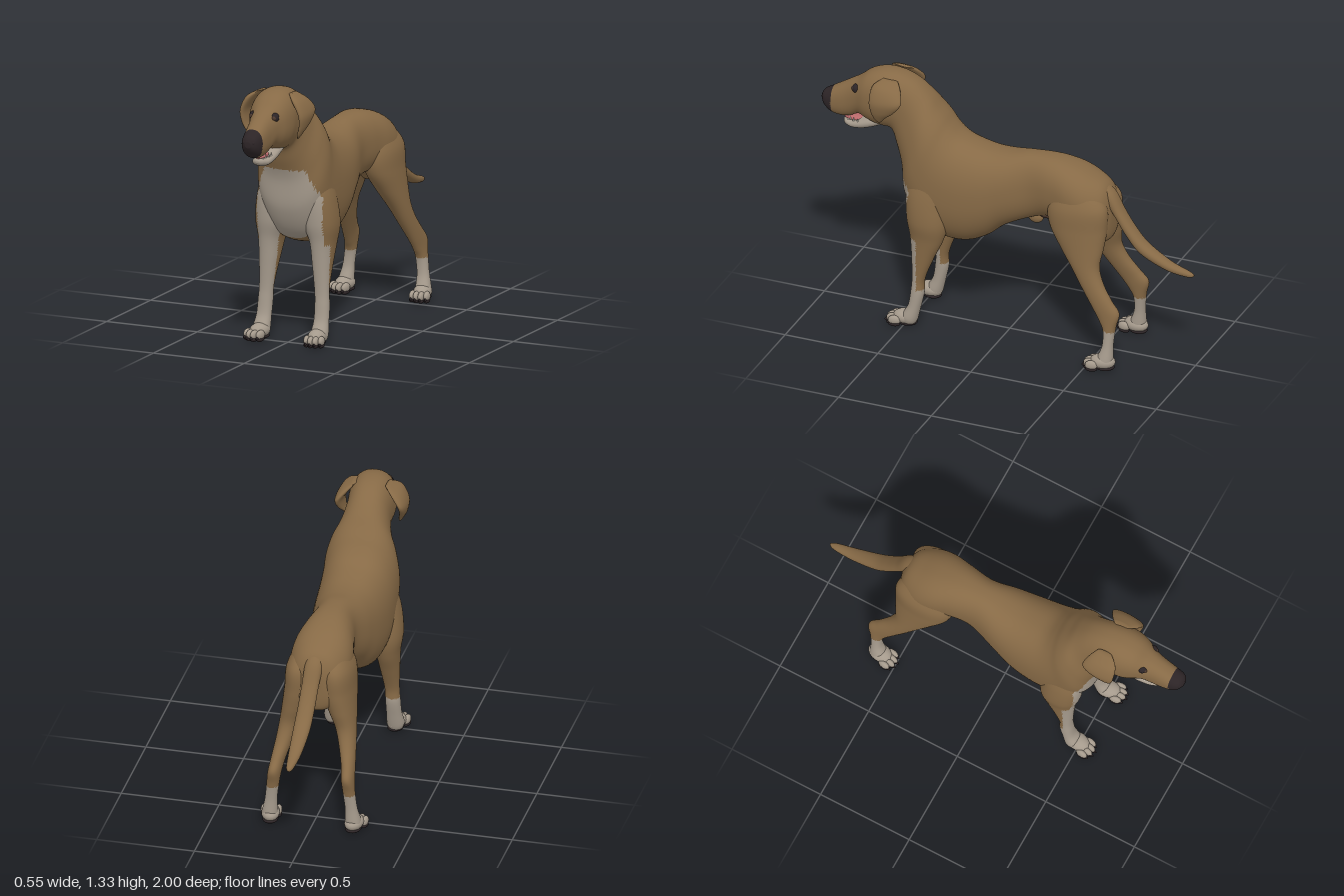
import * as THREE from 'three';

const paint = (name, hex) => {
  const m = new THREE.MeshStandardMaterial({ color: hex });
  m.name = name;
  return m;
};
const tan = paint('tanCoat', 0x876a46);
const white = paint('paleCoat', 0xa59a8c);
const dark = paint('darkNoseAndPads', 0x2c2426);
const pink = paint('pinkMouth', 0xb8696a);
const ivory = paint('ivoryTeeth', 0xd2cabc);
const brown = paint('darkBrownSkin', 0x4c382e);

// Smooth value between section rows
const spline = (a, b, c, d, t) =>
  b + 0.5 * t * (c - a + t * (2 * a - 5 * b + 4 * c - d + t * (3 * (b - c) + d - a)));

// Skin through sections [zA, yA, zB, yB, halfWidth, xCentre]; A and B are opposite edges.
// pick(x, y, z) returns the material index of each facet.
function loft(name, sections, mats, pick = () => 0, seg = 40, steps = 6, power = 0.92) {
  const pos = [], tris = [], n = sections.length;
  const at = (i) => sections[Math.max(0, Math.min(n - 1, i))];
  const rows = (n - 1) * steps + 1;
  for (let r = 0; r < rows; r++) {
    const i = Math.floor(r / steps), t = (r % steps) / steps;
    const [zA, yA, zB, yB, w, x] = [0, 1, 2, 3, 4, 5].map((k) =>
      spline(at(i - 1)[k] ?? 0, at(i)[k] ?? 0, at(i + 1)[k] ?? 0, at(i + 2)[k] ?? 0, t));
    for (let j = 0; j < seg; j++) {
      const a = (j / seg) * Math.PI * 2;
      const c = Math.sign(Math.cos(a)) * Math.abs(Math.cos(a)) ** power;
      const s = Math.sign(Math.sin(a)) * Math.abs(Math.sin(a)) ** power;
      pos.push(x + w * s, (yA + yB) / 2 + (yA - yB) / 2 * c, (zA + zB) / 2 + (zA - zB) / 2 * c);
    }
  }
  for (let r = 0; r < rows - 1; r++) {
    for (let j = 0; j < seg; j++) {
      const a = r * seg + j, b = r * seg + (j + 1) % seg;
      tris.push([a, b, a + seg], [b, b + seg, a + seg]);
    }
  }
  // End caps
  for (const r of [0, rows - 1]) {
    const first = r * seg, mid = pos.length / 3;
    for (let k = 0; k < 3; k++) pos.push((pos[first * 3 + k] + pos[(first + seg / 2) * 3 + k]) / 2);
    for (let j = 0; j < seg; j++) {
      const a = first + j, b = first + (j + 1) % seg;
      tris.push(r ? [a, b, mid] : [b, a, mid]);
    }
  }
  // Face outward whichever way the sections run
  const v = (i) => new THREE.Vector3(pos[i * 3], pos[i * 3 + 1], pos[i * 3 + 2]);
  const o = v(0);
  let volume = 0;
  const buckets = mats.map(() => []);
  for (const t of tris) {
    const [p, q, s] = t.map(v);
    const m = p.clone().add(q).add(s).divideScalar(3);
    buckets[pick(m.x, m.y, m.z)].push(t);
    volume += p.sub(o).dot(q.sub(o).cross(s.sub(o)));
  }
  const geo = new THREE.BufferGeometry();
  geo.setAttribute('position', new THREE.Float32BufferAttribute(pos, 3));
  const index = [];
  buckets.forEach((b, k) => {
    geo.addGroup(index.length, b.length * 3, k);
    for (const [p, q, s] of b) index.push(...(volume < 0 ? [p, s, q] : [p, q, s]));
  });
  geo.setIndex(index);
  geo.computeVertexNormals();
  const mesh = new THREE.Mesh(geo, mats);
  mesh.name = name;
  return mesh;
}

const sphere = new THREE.SphereGeometry(1, 20, 14);
function ball(name, mat, p, s) {
  const mesh = new THREE.Mesh(sphere, mat);
  mesh.name = name;
  mesh.position.set(...p);
  mesh.scale.set(...s);
  return mesh;
}

// Pale bib on the chest, carried down the front of the forelegs
const isBib = (x, y, z) =>
  z > 0.43 + 0.14 * Math.max(0, y - 0.5) && Math.abs(x) < 0.18 && y < 0.895 - 2.2 * Math.max(0, Math.abs(x) - 0.11);

function paw(name, x, z, side) {
  const g = new THREE.Group();
  g.name = name;
  g.add(ball('pawTop', white, [0, 0.045, -0.015], [0.046, 0.038, 0.065]));
  g.add(ball('heelPad', dark, [0, 0.016, -0.025], [0.04, 0.016, 0.05]));
  for (let i = -1.5; i <= 1.5; i++) {
    const tx = i * 0.025, tz = 0.056 - Math.abs(i) * 0.014;
    g.add(ball('toe', white, [tx, 0.034, tz], [0.016, 0.025, 0.032]));
    g.add(ball('toePad', dark, [tx, 0.013, tz], [0.015, 0.013, 0.031]));
    g.add(ball('claw', dark, [tx, 0.021, tz + 0.028], [0.006, 0.008, 0.013]));
  }
  g.position.set(x, 0, z);
  g.rotation.y = side * 0.15;
  return g;
}

export function createModel() {
  const dog = new THREE.Group();
  dog.name = 'dog';

  // Trunk, neck and skull to nose in one skin
  dog.add(loft('bodyAndHead', [
    [-0.565, 0.85, -0.565, 0.76, 0.03, 0], [-0.525, 0.925, -0.55, 0.63, 0.11, 0],
    [-0.45, 0.97, -0.46, 0.62, 0.15, 0], [-0.36, 1.005, -0.36, 0.67, 0.152, 0],
    [-0.25, 1.025, -0.26, 0.70, 0.13, 0], [-0.12, 1.022, -0.15, 0.675, 0.115, 0],
    [0, 1.003, 0, 0.605, 0.15, 0], [0.1, 1.002, 0.1, 0.525, 0.172, 0],
    [0.2, 1.022, 0.21, 0.477, 0.185, 0], [0.26, 1.048, 0.34, 0.482, 0.19, 0],
    [0.305, 1.09, 0.46, 0.54, 0.19, 0], [0.34, 1.135, 0.535, 0.68, 0.187, 0],
    [0.375, 1.175, 0.555, 0.84, 0.165, 0], [0.42, 1.23, 0.59, 0.94, 0.13, 0],
    [0.49, 1.29, 0.62, 1.01, 0.112, 0], [0.57, 1.325, 0.67, 1.02, 0.114, 0.003],
    [0.66, 1.332, 0.71, 1.03, 0.117, 0.006], [0.74, 1.31, 0.75, 1.045, 0.104, 0.01],
    [0.80, 1.265, 0.795, 1.06, 0.08, 0.012], [0.85, 1.235, 0.845, 1.038, 0.066, 0.014],
    [0.90, 1.205, 0.895, 1.03, 0.06, 0.016], [0.95, 1.175, 0.945, 1.04, 0.053, 0.018],
    [0.985, 1.155, 0.98, 1.07, 0.04, 0.02], [1.0, 1.13, 1.0, 1.10, 0.015, 0.02],
  ], [tan, white, dark], (x, y, z) => (z > 0.938 ? 2 : isBib(x, y, z) ? 1 : 0), 64, 8, 0.86));

  // Tail
  dog.add(loft('tail', [
    [-0.46, 0.955, -0.49, 0.85, 0.05, 0], [-0.56, 0.895, -0.53, 0.82, 0.046, 0.005],
    [-0.62, 0.795, -0.575, 0.765, 0.043, 0.01], [-0.68, 0.71, -0.64, 0.67, 0.043, 0.014],
    [-0.75, 0.638, -0.72, 0.585, 0.042, 0.018], [-0.87, 0.567, -0.86, 0.52, 0.032, 0.02],
    [-0.97, 0.533, -0.97, 0.502, 0.018, 0.02], [-1, 0.52, -1, 0.51, 0.003, 0.02],
  ], [tan], undefined, 24));

  // Lower jaw, tongue and teeth
  dog.add(loft('lowerJaw', [
    [0.69, 1.07, 0.68, 1.02, 0.06, 0.008], [0.74, 1.055, 0.735, 0.995, 0.058, 0.01],
    [0.79, 1.035, 0.785, 0.98, 0.053, 0.012], [0.84, 1.02, 0.835, 0.975, 0.044, 0.014],
    [0.872, 1.022, 0.872, 0.985, 0.03, 0.015], [0.886, 1.012, 0.886, 1.0, 0.008, 0.015],
  ], [white], undefined, 28));
  dog.add(ball('tongue', pink, [0.015, 1.026, 0.825], [0.03, 0.014, 0.06]));
  for (let i = -5; i <= 5; i++) {
    const a = i * 0.27, fang = Math.abs(i) === 2 ? 1.6 : 1;
    const tooth = new THREE.Mesh(new THREE.ConeGeometry(0.006, 0.018 * fang, 8), ivory);
    tooth.name = 'tooth';
    tooth.position.set(0.014 + Math.sin(a) * 0.04, 1.03, 0.78 + Math.cos(a) * 0.09);
    dog.add(tooth);
  }

  // Nostrils
  for (const s of [-1, 1]) dog.add(ball('nostril', dark, [0.02 + s * 0.022, 1.125, 0.982], [0.014, 0.014, 0.014]));

  // Underbelly details
  dog.add(ball('bellyFold', tan, [0, 0.66, -0.14], [0.022, 0.034, 0.04]));
  dog.add(ball('bellySkin', brown, [0, 0.69, -0.2], [0.028, 0.025, 0.05]));

  for (const s of [-1, 1]) {
    const side = s > 0 ? 'left' : 'right';
    const mirror = (rows, shift = 0) => rows.map((r) => [...r.slice(0, 5), r[5] * s + shift]);

    // Hanging ear
    dog.add(loft(side + 'Ear', mirror([
      [0.65, 1.31, 0.57, 1.305, 0.012, 0.085], [0.69, 1.28, 0.54, 1.27, 0.026, 0.125],
      [0.695, 1.21, 0.525, 1.22, 0.022, 0.16], [0.685, 1.15, 0.565, 1.165, 0.017, 0.158],
      [0.672, 1.105, 0.615, 1.12, 0.012, 0.142], [0.655, 1.085, 0.64, 1.09, 0.004, 0.132],
    ], -0.004), [tan], undefined, 28));

    // Eye with dark lids
    dog.add(ball(side + 'EyeRim', dark, [0.013 + s * 0.056, 1.217, 0.797], [0.024, 0.025, 0.024]));
    dog.add(ball(side + 'Eye', brown, [0.013 + s * 0.059, 1.217, 0.807], [0.015, 0.014, 0.018]));

    // Foreleg
    dog.add(loft(side + 'Foreleg', mirror([
      [0.48, 0.86, 0.30, 0.86, 0.045, 0.12], [0.50, 0.74, 0.29, 0.72, 0.075, 0.128],
      [0.495, 0.61, 0.28, 0.59, 0.086, 0.132], [0.475, 0.51, 0.305, 0.49, 0.062, 0.142],
      [0.465, 0.40, 0.35, 0.39, 0.05, 0.146], [0.46, 0.27, 0.395, 0.27, 0.038, 0.152],
      [0.465, 0.20, 0.398, 0.19, 0.038, 0.156], [0.478, 0.12, 0.415, 0.11, 0.039, 0.158],
      [0.51, 0.06, 0.43, 0.045, 0.044, 0.16], [0.51, 0.025, 0.44, 0.02, 0.036, 0.16],
    ]), [tan, white], (x, y, z) => (y < 0.215 || (y < 0.5 ? z > 0.427 : isBib(x, y, z)) ? 1 : 0), 40, 8));
    dog.add(paw(side + 'FrontPaw', s * 0.16, 0.51, s));

    // Hind leg
    dog.add(loft(side + 'HindLeg', mirror([
      [-0.28, 0.91, -0.47, 0.92, 0.05, 0.07], [-0.245, 0.80, -0.555, 0.83, 0.08, 0.088],
      [-0.26, 0.70, -0.56, 0.71, 0.082, 0.096], [-0.325, 0.60, -0.55, 0.61, 0.068, 0.118],
      [-0.40, 0.50, -0.54, 0.52, 0.052, 0.143], [-0.46, 0.41, -0.57, 0.44, 0.042, 0.162],
      [-0.525, 0.315, -0.625, 0.365, 0.034, 0.18], [-0.56, 0.26, -0.667, 0.31, 0.032, 0.188],
      [-0.585, 0.21, -0.652, 0.235, 0.031, 0.195], [-0.585, 0.13, -0.642, 0.14, 0.031, 0.205],
      [-0.56, 0.06, -0.643, 0.05, 0.04, 0.213], [-0.56, 0.025, -0.635, 0.02, 0.034, 0.214],
    ]), [tan, white], (x, y) => (y < 0.215 ? 1 : 0), 40, 8));
    dog.add(paw(side + 'HindPaw', s * 0.216, -0.575, s));
  }
  return dog;
}
